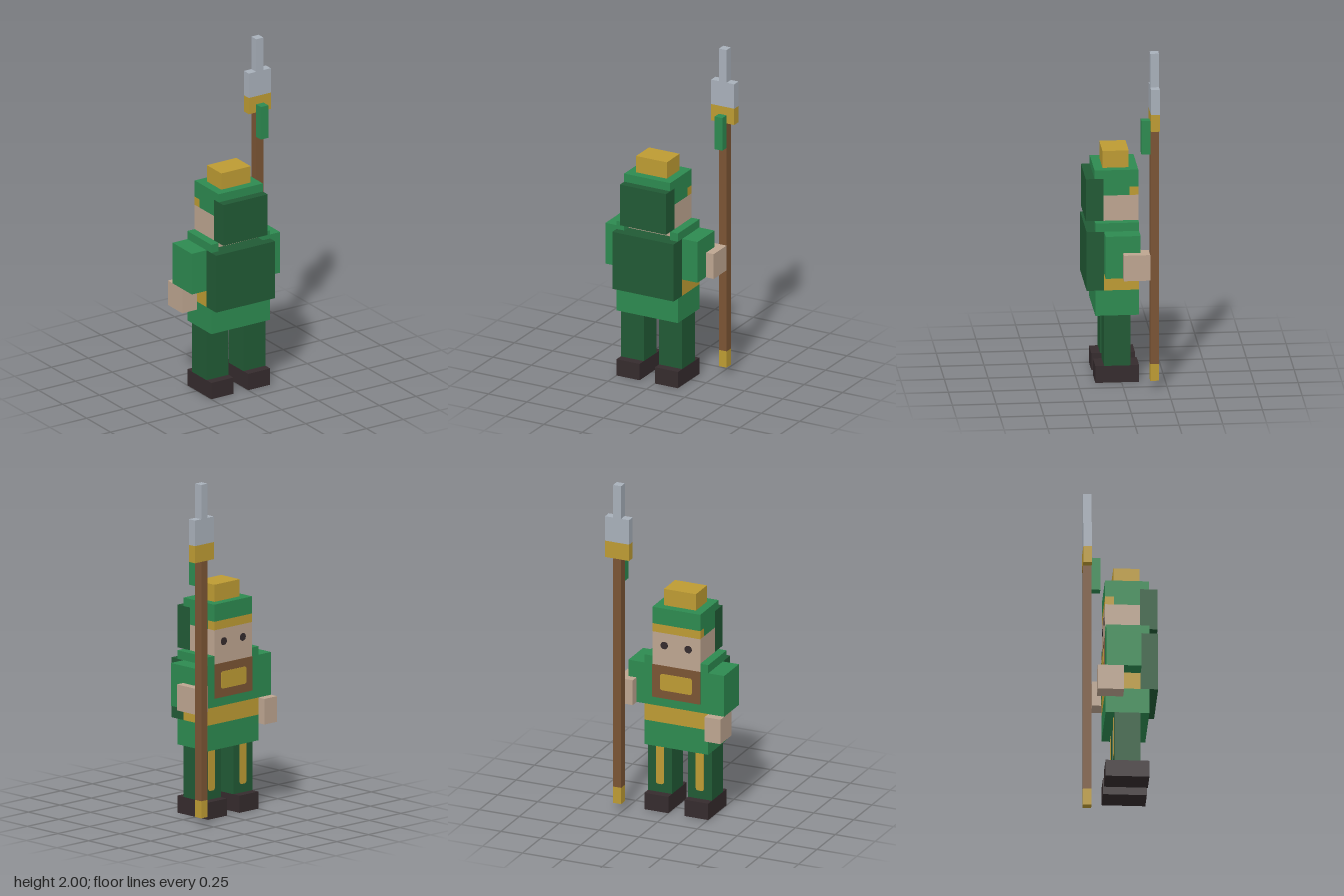
import * as THREE from 'three';

const mat = (name, color) => {
  const m = new THREE.MeshStandardMaterial({ color });
  m.name = name;
  return m;
};

export function createModel() {
  const green = mat('green cloth', 0x2d8a50);
  const dark = mat('dark green cloth', 0x215a35);
  const skin = mat('skin', 0xbda590);
  const gold = mat('gold', 0xbd9b33);
  const brown = mat('brown wood', 0x7a5434);
  const steel = mat('steel', 0xa8b0ba);
  const black = mat('dark leather', 0x352b2d);

  const model = new THREE.Group();
  model.name = 'spearGuard';
  const group = (name) => {
    const g = new THREE.Group();
    g.name = name;
    model.add(g);
    return g;
  };

  // Box given by its lower and upper limits on each axis
  const box = (parent, name, material, [x0, x1], [y0, y1], [z0, z1]) => {
    const mesh = new THREE.Mesh(new THREE.BoxGeometry(x1 - x0, y1 - y0, z1 - z0), material);
    mesh.position.set((x0 + x1) / 2, (y0 + y1) / 2, (z0 + z1) / 2);
    mesh.name = name;
    parent.add(mesh);
  };

  // Thin rounded plate that faces -z, with its back on the plane z
  const plate = (parent, name, material, [x0, x1], [y0, y1], z, r) => {
    const w = (x1 - x0) / 2, h = (y1 - y0) / 2;
    const s = new THREE.Shape();
    s.absarc(w - r, h - r, r, 0, Math.PI / 2);
    s.absarc(r - w, h - r, r, Math.PI / 2, Math.PI);
    s.absarc(r - w, r - h, r, Math.PI, Math.PI * 1.5);
    s.absarc(w - r, r - h, r, Math.PI * 1.5, Math.PI * 2);
    const geo = new THREE.ExtrudeGeometry(s, { depth: 0.003, bevelEnabled: false, curveSegments: 5 });
    const mesh = new THREE.Mesh(geo, material);
    mesh.position.set((x0 + x1) / 2, (y0 + y1) / 2, z - 0.003);
    mesh.name = name;
    parent.add(mesh);
  };

  // Legs with shoes and gold stripes
  for (const [side, x] of [['right', -0.25], ['left', 0]]) {
    const leg = group(side + 'Leg');
    box(leg, 'shoe', black, [x, x + 0.15], [0, 0.1], [-0.1, 0.15]);
    box(leg, 'trouser', dark, [x, x + 0.15], [0.1, 0.4], [-0.05, 0.1]);
    plate(leg, 'stripe', gold, [x + 0.05, x + 0.1], [0.15, 0.395], -0.05, 0.014);
  }

  // Tunic, belt, chest panel and backpack
  const torso = group('torso');
  box(torso, 'skirt', green, [-0.25, 0.15], [0.4, 0.55], [-0.1, 0.15]);
  box(torso, 'belt', gold, [-0.25, 0.15], [0.55, 0.65], [-0.1, 0.1]);
  box(torso, 'tunic', green, [-0.25, 0.15], [0.65, 0.9], [-0.1, 0.1]);
  for (const x of [-0.25, 0.1])
    box(torso, 'shoulderStrap', green, [x, x + 0.05], [0.9, 0.95], [-0.1, 0.15]);
  box(torso, 'chestPanel', brown, [-0.2, 0.1], [0.7, 0.9], [-0.103, -0.1]);
  plate(torso, 'chestBadge', gold, [-0.15, 0.05], [0.75, 0.85], -0.103, 0.014);
  box(torso, 'backpack', dark, [-0.25, 0.15], [0.55, 0.9], [0.1, 0.2]);

  // Head, layered cap and hanging hood
  const head = group('head');
  const headX = [-0.2, 0.1];
  box(head, 'face', skin, headX, [0.9, 1.1], [-0.1, 0.1]);
  for (const x of [-0.125, 0.025])
    plate(head, 'eye', black, [x - 0.022, x + 0.022], [1.003, 1.047], -0.1, 0.02);
  box(head, 'capBand', gold, headX, [1.1, 1.15], [-0.1, -0.05]);
  box(head, 'capSide', green, headX, [1.1, 1.15], [-0.05, 0.1]);
  box(head, 'capTop', green, headX, [1.15, 1.2], [-0.1, 0.1]);
  box(head, 'capCrown', green, headX, [1.2, 1.25], [-0.1, 0.15]);
  box(head, 'capKnob', gold, [-0.15, 0.05], [1.25, 1.35], [-0.05, 0.1]);
  box(head, 'hood', dark, headX, [0.95, 1.2], [0.1, 0.2]);

  // Arms: one hanging, one holding the spear
  const rightArm = group('rightArm');
  box(rightArm, 'sleeve', green, [-0.35, -0.25], [0.65, 0.9], [-0.1, 0.1]);
  box(rightArm, 'hand', skin, [-0.35, -0.25], [0.5, 0.65], [-0.15, 0]);
  const leftArm = group('leftArm');
  box(leftArm, 'sleeve', green, [0.15, 0.25], [0.65, 0.9], [-0.1, 0.1]);
  box(leftArm, 'hand', skin, [0.2, 0.3], [0.648, 0.8], [-0.15, 0]);

  // Spear
  const spear = group('spear');
  const shaftX = [0.25, 0.3], headW = [0.2, 0.35], shaftZ = [-0.2, -0.15];
  box(spear, 'buttCap', gold, shaftX, [0.05, 0.15], shaftZ);
  box(spear, 'shaft', brown, shaftX, [0.15, 1.55], shaftZ);
  box(spear, 'collar', gold, headW, [1.55, 1.65], shaftZ);
  box(spear, 'blade', steel, headW, [1.65, 1.8], shaftZ);
  box(spear, 'bladeTip', steel, shaftX, [1.8, 2], shaftZ);
  box(spear, 'tassel', green, shaftX, [1.4, 1.6], [-0.15, -0.1]);

  return model;
}
